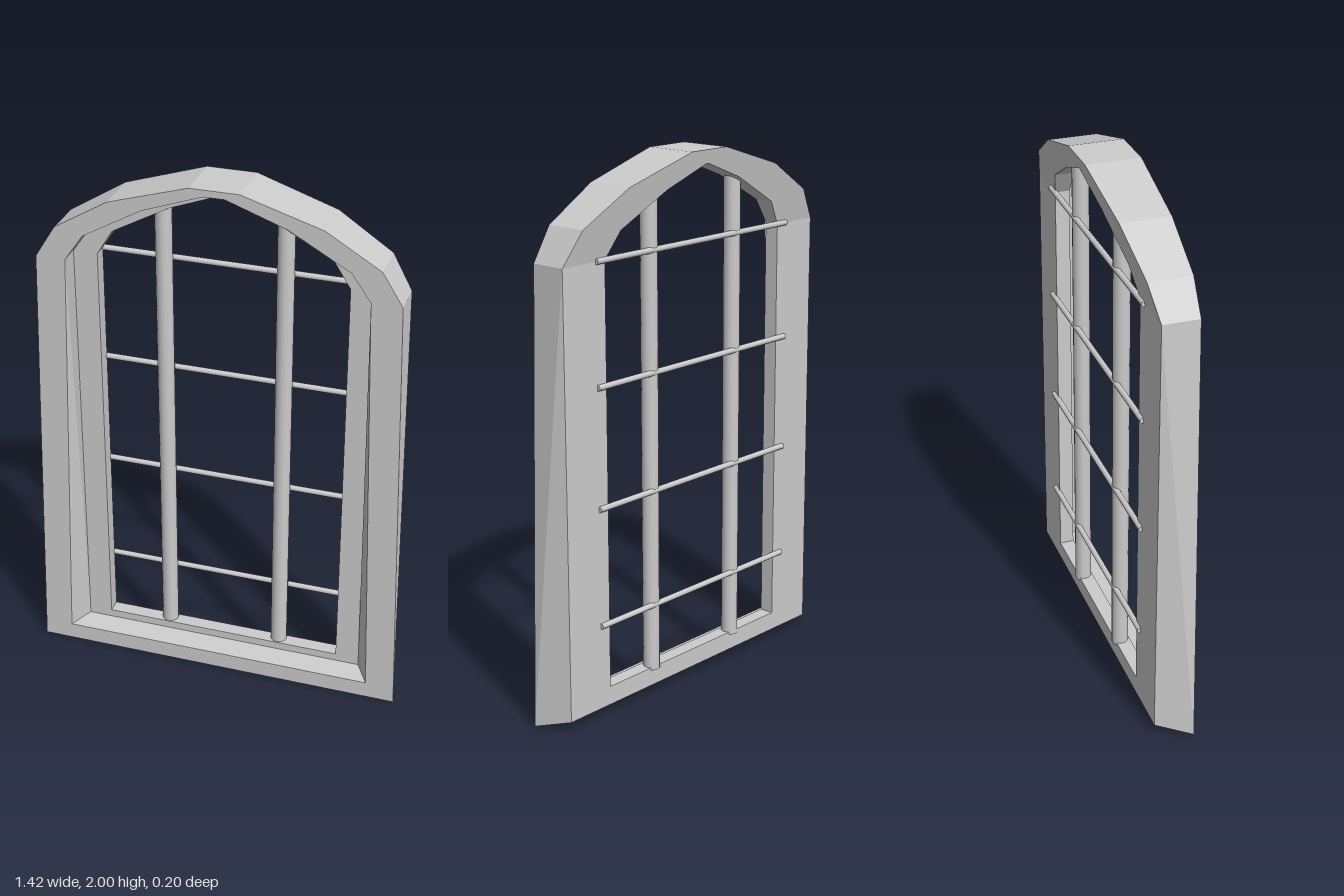
import * as THREE from 'three';

const SPRING = 1.67; // height where the arch starts
const backZ = (y) => -0.035 - 0.197 * Math.max(0, y - SPRING); // back leans out along the arch

// Half outlines (x >= 0), from bottom centre up to top centre
const half = (corner, arch) => [[0, corner[1]], corner, ...arch, [0, arch[arch.length - 1][1]]];
const at = (outline, z) => outline.map(([x, y]) => [x, y, typeof z === 'function' ? z(y) : z]);

const outerArch = [[0.66, SPRING], [0.585, 1.79], [0.385, 1.91], [0.09, 2]];
const revealArch = [[0.55, SPRING], [0.48, 1.77], [0.26, 1.895], [0.037, 1.975]];
const openingArch = [[0.46, SPRING], [0.4, 1.765], [0.19, 1.88], [0.005, 1.95]];

// Closed band of cross-sections: front face, splayed reveal, rebate, opening, back, outer side
function frameGeometry() {
  const opening = half([0.46, 0.11], openingArch);
  const loops = [
    at(half([0.71, 0], outerArch), 0.1),
    at(half([0.6, 0.065], revealArch), 0.1),
    at(half([0.55, 0.08], revealArch), 0.02),
    at(opening, 0.02),
    at(opening, backZ),
    at(half([0.66, 0.04], outerArch), backZ),
  ];
  const pos = [];
  const mirror = ([x, y, z]) => [-x, y, z];
  const tri = (a, b, c) => pos.push(
    ...a, ...b, ...c, ...mirror(a), ...mirror(c), ...mirror(b));
  loops.forEach((p, i) => {
    const q = loops[(i + 1) % loops.length];
    for (let k = 0; k < p.length - 1; k++) {
      tri(p[k], p[k + 1], q[k]);
      tri(p[k + 1], q[k + 1], q[k]);
    }
  });
  const geo = new THREE.BufferGeometry();
  geo.setAttribute('position', new THREE.Float32BufferAttribute(pos, 3));
  geo.computeVertexNormals();
  return geo;
}

export function createModel() {
  const group = new THREE.Group();
  const flat = new THREE.MeshStandardMaterial({ color: 0xcccccc, flatShading: true });
  const smooth = new THREE.MeshStandardMaterial({ color: 0xcccccc });

  const add = (name, geo, mat, x = 0, y = 0, z = 0) => {
    const mesh = new THREE.Mesh(geo, mat);
    mesh.name = name;
    mesh.position.set(x, y, z);
    group.add(mesh);
  };

  add('windowFrame', frameGeometry(), flat);

  // Upright bars
  const upright = new THREE.CylinderGeometry(0.031, 0.031, 1.78, 16);
  for (const x of [-0.222, 0.222]) add('uprightBar', upright, smooth, x, 0.99, -0.015);

  // Thin cross bars, overlapping the back of the frame
  const cross = new THREE.CylinderGeometry(0.011, 0.011, 1.01, 10).rotateZ(Math.PI / 2);
  for (let i = 0; i < 4; i++) add('crossBar', cross, smooth, 0, 0.357 + i * 0.438, -0.037);

  return group;
}
